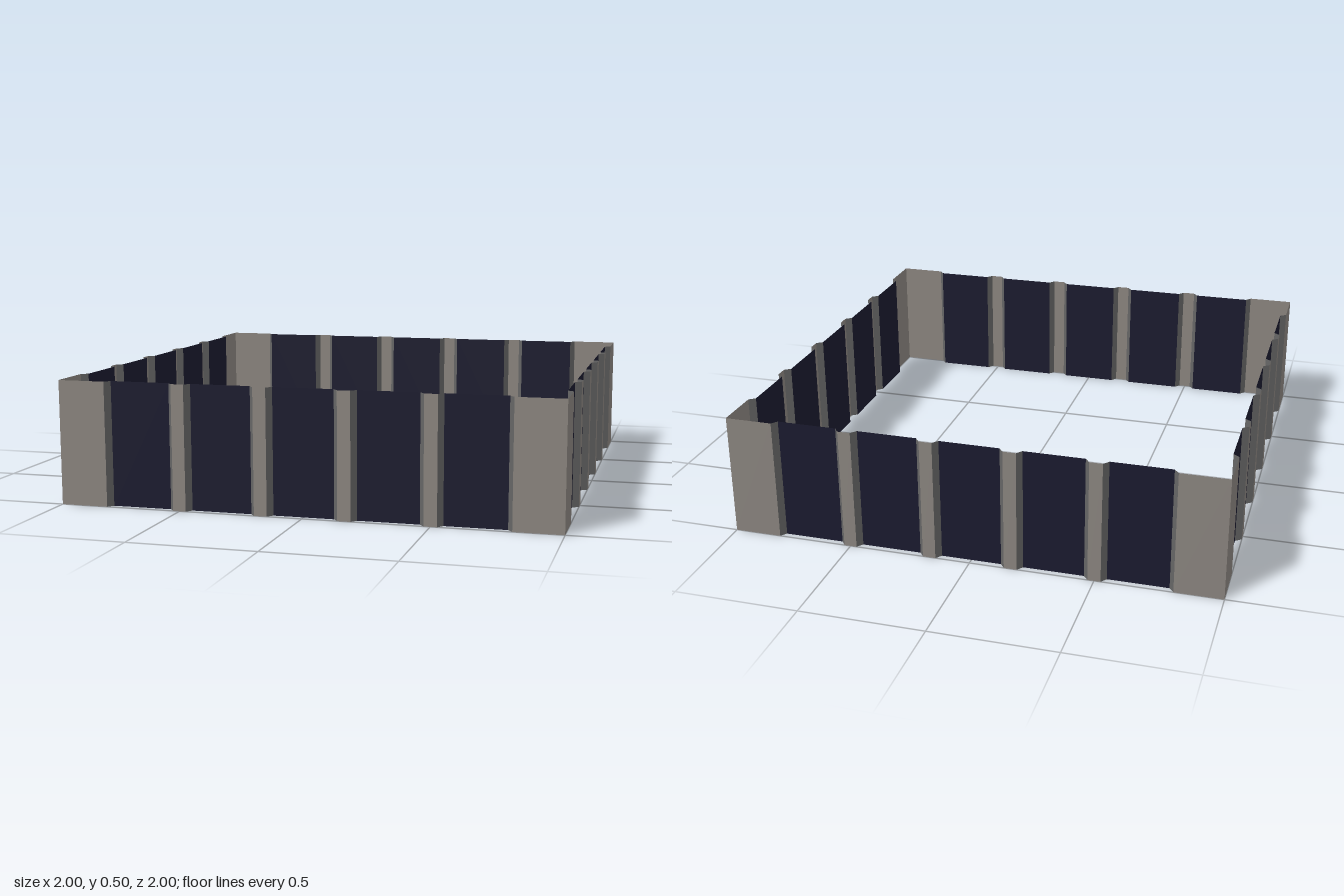
import * as THREE from 'three';

const HEIGHT = 0.5;
const RECESS = 0.975; // plane of the window panels
const FACE = 1;       // plane of the piers and corners

// Open vertical band that follows plan points [x, z], outside to the right of travel
function band(name, points, material) {
  const pos = [];
  for (let i = 0; i < points.length - 1; i++) {
    const [ax, az] = points[i];
    const [bx, bz] = points[i + 1];
    pos.push(ax, 0, az, bx, 0, bz, bx, HEIGHT, bz);
    pos.push(ax, 0, az, bx, HEIGHT, bz, ax, HEIGHT, az);
  }
  const geometry = new THREE.BufferGeometry();
  geometry.setAttribute('position', new THREE.Float32BufferAttribute(pos, 3));
  geometry.computeVertexNormals();
  const mesh = new THREE.Mesh(geometry, material);
  mesh.name = name;
  return mesh;
}

function flat(name, color) {
  const material = new THREE.MeshStandardMaterial({ color, side: THREE.DoubleSide });
  material.name = name;
  return material;
}

export function createModel() {
  const stone = flat('warm grey stone', 0x8a847e);
  const frame = flat('dark grey frame', 0x666666);
  const glass = flat('dark blue glass', 0x1a1a2e);

  const model = new THREE.Group();
  model.name = 'buildingStorey';

  const pierCentres = [-0.5, -1 / 6, 1 / 6, 0.5];
  const pierFace = 0.026; // half width at the front
  const pierBase = 0.045; // half width at the glass
  const cornerFace = 0.807;
  const cornerBase = 0.788;

  // Window bays between the piers and corners: outer opening and inner glass edges
  const bays = [0, 1, 2, 3, 4].map((i) => ({
    openL: i === 0 ? -cornerFace : pierCentres[i - 1] + pierFace,
    glassL: i === 0 ? -cornerBase : pierCentres[i - 1] + pierBase,
    glassR: i === 4 ? cornerBase : pierCentres[i] - pierBase,
    openR: i === 4 ? cornerFace : pierCentres[i] - pierFace,
  }));

  ['front', 'left', 'back', 'right'].forEach((side, k) => {
    const wall = new THREE.Group();
    wall.name = side + 'Wall';
    wall.rotation.y = k * Math.PI / 2;

    // Pier faces
    for (const c of pierCentres) {
      wall.add(band('pier', [[c - pierFace, FACE], [c + pierFace, FACE]], stone));
    }

    // Recessed panels with slanted reveals on both sides
    for (const { openL, glassL, glassR, openR } of bays) {
      wall.add(band('windowReveal', [[openL, FACE], [glassL, RECESS]], frame));
      wall.add(band('windowPanel', [[glassL, RECESS], [glassR, RECESS]], glass));
      wall.add(band('windowReveal', [[glassR, RECESS], [openR, FACE]], frame));
    }

    // Corner shared with the next wall
    wall.add(band('corner', [[cornerFace, FACE], [FACE, FACE], [FACE, cornerFace]], stone));

    model.add(wall);
  });

  return model;
}
